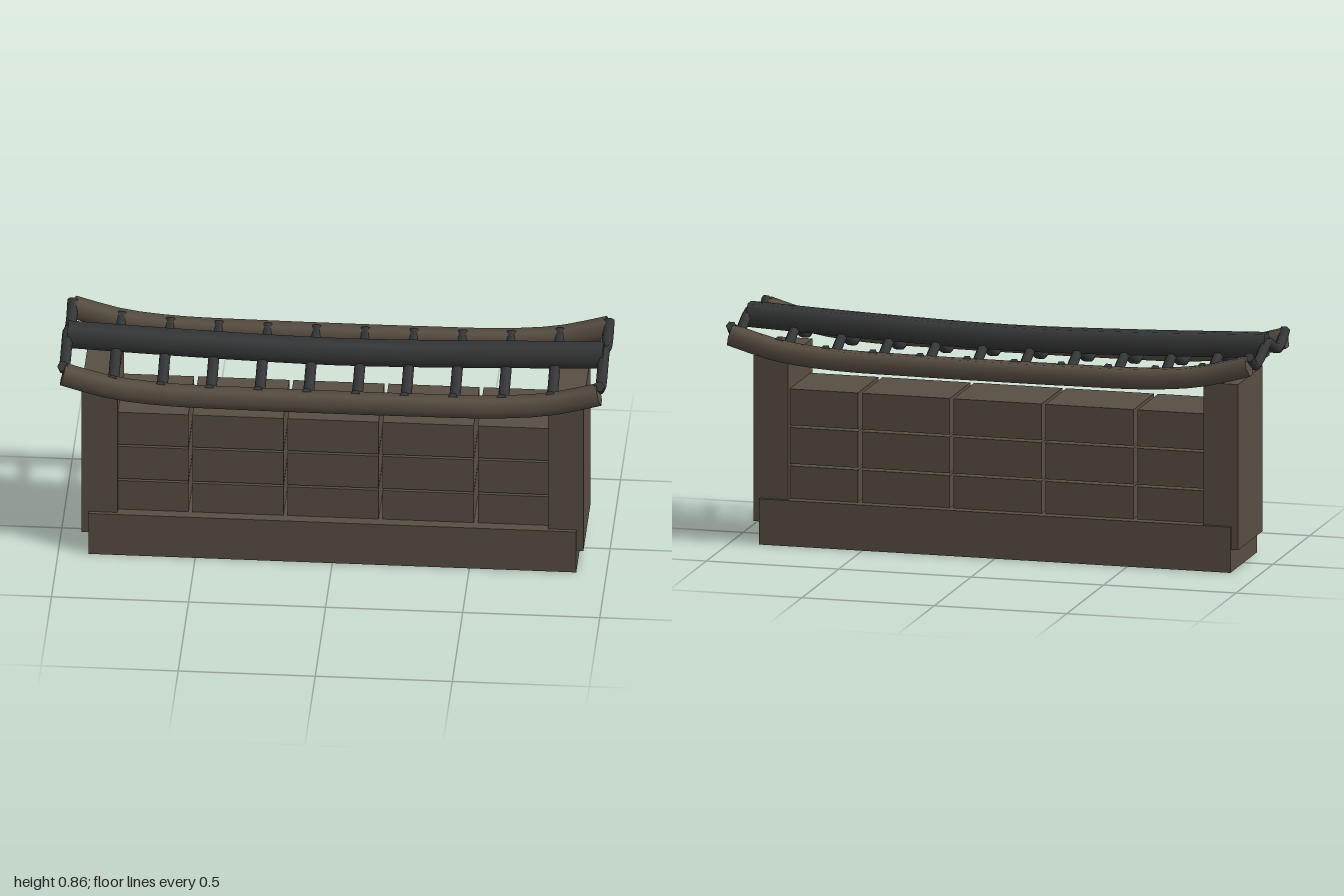
import * as THREE from 'three';
import { mergeGeometries } from 'three/addons/utils/BufferGeometryUtils.js';

const wood = new THREE.MeshStandardMaterial({ color: 0x584e43 });
wood.name = 'brown';
const tile = new THREE.MeshStandardMaterial({ color: 0x363738 });
tile.name = 'charcoal';

// Hexagonal bar along a planar curve, closed at both ends
function bar(points, radius, segments) {
  const curve = new THREE.CatmullRomCurve3(points);
  const frames = curve.computeFrenetFrames(segments, false);
  const parts = [new THREE.TubeGeometry(curve, segments, radius, 6, false)];
  for (const end of [0, 1]) {
    const i = end * segments, s = end ? 1 : -1;
    const m = new THREE.Matrix4().makeBasis(
      frames.normals[i],
      frames.binormals[i].clone().multiplyScalar(s),
      frames.tangents[i].clone().multiplyScalar(s)
    );
    m.setPosition(curve.getPointAt(end));
    parts.push(new THREE.CircleGeometry(radius, 6).applyMatrix4(m));
  }
  return mergeGeometries(parts);
}

// Mirror half a profile, listed from the middle outwards
const mirrored = (half) => [...half.slice(1).reverse().map(([a, y]) => [-a, y]), ...half];

export function createModel() {
  const group = new THREE.Group();
  const add = (name, geometry, material, x = 0, y = 0, z = 0) => {
    const mesh = new THREE.Mesh(geometry, material);
    mesh.name = name;
    mesh.position.set(x, y, z);
    group.add(mesh);
  };

  // Plinth and end pillars
  add('base', new THREE.BoxGeometry(1.78, 0.17, 0.36), wood, 0, 0.085, 0);
  for (const s of [1, -1]) {
    add(s > 0 ? 'leftPillar' : 'rightPillar',
      new THREE.BoxGeometry(0.13, 0.617, 0.33), wood, s * 0.85, 0.3915, 0);
  }

  // Wall of separate blocks with open joints
  const block = new THREE.BoxGeometry(0.332, 0.135, 0.28);
  for (let row = 0; row < 3; row++) {
    for (let col = -2; col <= 2; col++) {
      add('wallBlock', block, wood, col * 0.347, 0.223 + row * 0.1435, 0);
    }
  }

  // Upturned eave beams
  const eaveHalf = [[0, 0.715], [0.3, 0.716], [0.6, 0.721], [0.8, 0.742], [0.978, 0.79]];
  const eavePoints = mirrored(eaveHalf).map(([x, y]) => new THREE.Vector3(x, y, 0));
  const eave = bar(eavePoints, 0.042, 24);
  for (const s of [1, -1]) add(s > 0 ? 'frontEave' : 'backEave', eave, wood, 0, 0, s * 0.244);

  // Sagging ridge
  const ridgeHalf = [[0, 0.786], [0.5, 0.797], [0.978, 0.816]];
  add('ridge', bar(mirrored(ridgeHalf).map(([x, y]) => new THREE.Vector3(x, y, 0)), 0.05, 16), tile);

  // Curved rafters that follow the height of the eaves
  const rafterHalf = [[0, 0.824], [0.05, 0.807], [0.1, 0.784], [0.155, 0.774], [0.2, 0.787], [0.243, 0.822]];
  const rafter = bar(mirrored(rafterHalf).map(([z, y]) => new THREE.Vector3(0, y, z)), 0.02, 24);
  const eaveY = (x) => {
    const a = Math.abs(x);
    let i = 1;
    while (i < eaveHalf.length - 1 && eaveHalf[i][0] < a) i++;
    const [x0, y0] = eaveHalf[i - 1], [x1, y1] = eaveHalf[i];
    return y0 + (y1 - y0) * Math.min(1, (a - x0) / (x1 - x0));
  };
  for (let i = 0; i < 12; i++) {
    const x = -0.978 + i * (1.956 / 11);
    add('rafter', rafter, tile, x, eaveY(x) - 0.79, 0);
  }
  return group;
}
